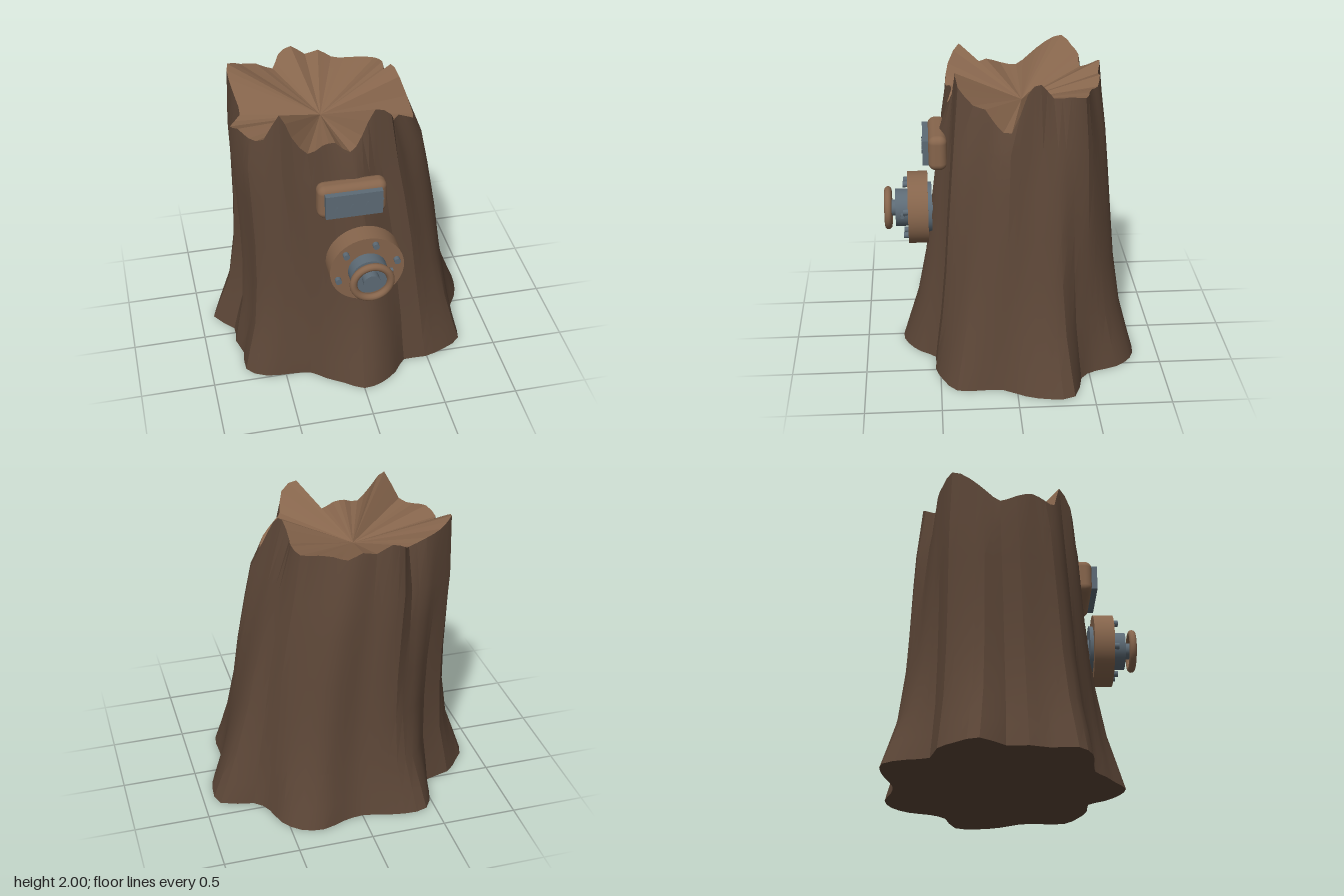
import * as THREE from 'three';
import { toCreasedNormals } from 'three/addons/utils/BufferGeometryUtils.js';
import { RoundedBoxGeometry } from 'three/addons/geometries/RoundedBoxGeometry.js';

const mat = (name, color) => {
  const m = new THREE.MeshStandardMaterial({ color });
  m.name = name;
  return m;
};

// Radii and rim heights every 10 degrees, from +x towards +z
const BASE_R = [
  .87, .80, .83, .89, .83, .76, .67, .73, .78, .80, .73, .69,
  .66, .72, .83, .88, .80, .80, .78, .92, .88, .83, .72, .80,
  .88, .83, .76, .72, .75, .84, .87, .84, .77, .78, .95, .93];
const RIM_R = [
  .53, .61, .59, .53, .53, .57, .52, .50, .51, .47, .49, .54,
  .56, .53, .57, .60, .61, .62, .53, .55, .60, .64, .60, .55,
  .48, .54, .54, .51, .52, .52, .51, .54, .59, .56, .50, .50];
const RIM_Y = [
  1.93, 1.70, 1.74, 1.81, 1.82, 1.93, 1.99, 1.82, 1.73, 1.79, 1.79, 1.76,
  1.88, 2.00, 1.81, 1.79, 1.81, 1.77, 1.78, 1.85, 1.93, 1.98, 1.93, 1.90,
  1.85, 1.90, 1.94, 1.88, 1.90, 1.85, 1.86, 1.87, 1.87, 1.89, 1.88, 1.98];

// Trunk levels: height, blend from base to rim outline, centre x, centre z
const LEVELS = [
  [0, 0, 0, -.05], [.15, .14, 0, -.05], [.37, .34, .005, -.052], [.7, .52, -.01, -.06],
  [1, .62, -.03, -.067], [1.33, .73, -.065, -.078], [1.57, .82, -.095, -.085]];
const RIM_CENTRE = [-.12, -.09];
const SEG = 72;

// Sample a closed list at segment i, halfway values gently rounded
function sample(list, i) {
  const n = list.length, k = Math.floor(i / 2);
  const at = j => list[(j + n) % n];
  if (i % 2 === 0) return at(k);
  return .5625 * (at(k) + at(k + 1)) - .0625 * (at(k - 1) + at(k + 2));
}

function trunkRings() {
  const ring = fn => Array.from({ length: SEG }, (_, i) => fn(i, i / SEG * Math.PI * 2));
  const rings = LEVELS.map(([y, w, cx, cz]) => ring((i, a) => {
    const r = THREE.MathUtils.lerp(sample(BASE_R, i), sample(RIM_R, i), w);
    return [cx + Math.cos(a) * r, y, cz + Math.sin(a) * r];
  }));
  rings.push(ring((i, a) => {
    const r = sample(RIM_R, i);
    return [RIM_CENTRE[0] + Math.cos(a) * r, Math.min(2, sample(RIM_Y, i)), RIM_CENTRE[1] + Math.sin(a) * r];
  }));
  return rings;
}

function fromTriangles(points, crease) {
  const g = new THREE.BufferGeometry();
  g.setAttribute('position', new THREE.Float32BufferAttribute(points.flat(), 3));
  g.computeVertexNormals();
  return toCreasedNormals(g, crease);
}

export function createModel() {
  const root = new THREE.Group();
  root.name = 'treeStump';
  const bark = mat('dark bark', 0x5c4637);
  const wood = mat('light wood', 0x86654c);
  const metal = mat('blue grey metal', 0x5d6b76);

  const add = (name, geo, material, x = 0, y = 0, z = 0, parent = root) => {
    const m = new THREE.Mesh(geo, material);
    m.name = name;
    m.position.set(x, y, z);
    parent.add(m);
    return m;
  };

  // Bark walls with a flat underside, and the splintered cut on top
  const rings = trunkRings(), rim = rings[rings.length - 1];
  const walls = [], cut = [];
  for (let i = 0; i < SEG; i++) {
    const n = (i + 1) % SEG;
    for (let j = 0; j < rings.length - 1; j++) {
      const a = rings[j][i], b = rings[j][n], c = rings[j + 1][i], d = rings[j + 1][n];
      walls.push(a, c, b, b, c, d);
    }
    walls.push([0, 0, -.05], rings[0][i], rings[0][n]);
    cut.push([RIM_CENTRE[0], 1.71, RIM_CENTRE[1]], rim[n], rim[i]);
  }
  add('trunk', fromTriangles(walls, .35), bark);
  add('cutTop', fromTriangles(cut, .05), wood);

  // Window: rounded frame, raised pane and four small slanted pegs
  const win = new THREE.Group();
  win.name = 'window';
  win.position.set(-.04, 1.44, 0);
  root.add(win);
  add('windowFrame', new RoundedBoxGeometry(.45, .24, .125, 4, .05), wood, 0, 0, .483, win);
  add('windowPane', new THREE.BoxGeometry(.37, .17, .06), metal, 0, 0, .553, win);
  for (let i = 0; i < 4; i++) {
    const peg = add('windowPeg', new THREE.BoxGeometry(.006, .035, .008), metal, -.12 + i * .1, -.015 + i * .01, .585, win);
    peg.rotation.z = -.4;
  }

  // Hatch: stack of discs along z
  const hatch = new THREE.Group();
  hatch.name = 'hatch';
  hatch.position.set(.02, 1, 0);
  root.add(hatch);
  const disc = (name, r, z0, z1, material, x = 0, y = 0, sides = 32) => {
    const g = new THREE.CylinderGeometry(r, r, z1 - z0, sides).rotateX(Math.PI / 2);
    return add(name, g, material, x, y, (z0 + z1) / 2, hatch);
  };
  disc('hatchShaft', .08, .38, .54, metal);
  disc('hatchBackPlate', .17, .53, .56, metal);
  disc('hatchDoor', .245, .555, .69, wood, 0, 0, 48);
  disc('hatchDial', .127, .69, .775, metal);
  disc('wheelHub', .055, .775, .835, metal);
  for (let i = 0; i < 6; i++) {
    const a = (15 + i * 60) * Math.PI / 180;
    disc('hatchBolt', .021, .68, .722, metal, Math.cos(a) * .2, Math.sin(a) * .2, 12);
  }
  add('dialPin', new THREE.CylinderGeometry(.014, .014, .05, 10).rotateZ(Math.PI / 2), metal, .135, 0, .73, hatch);
  add('handWheel', new THREE.TorusGeometry(.122, .025, 12, 40), wood, 0, 0, .825, hatch);

  return root;
}
